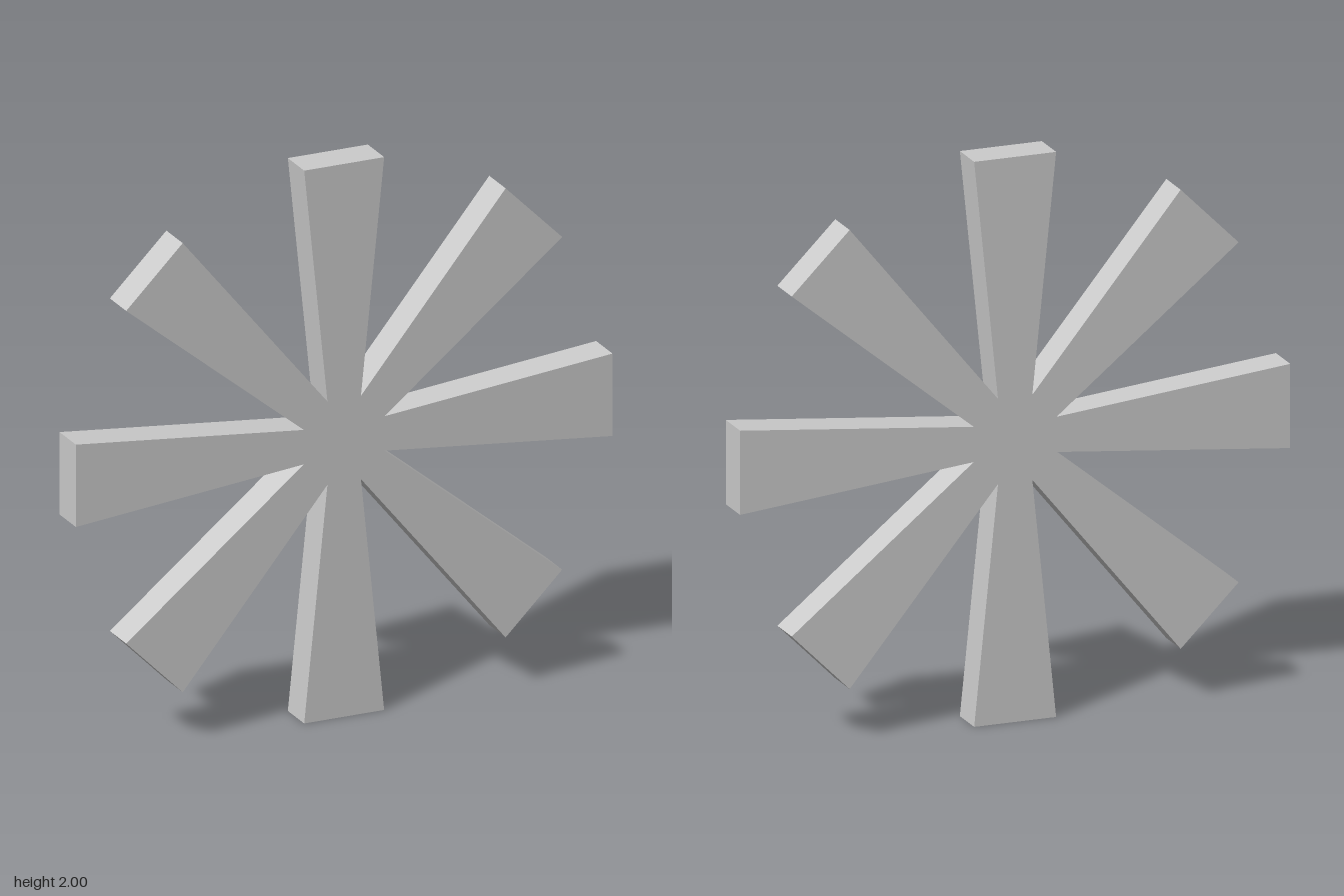
import * as THREE from 'three';

const ARMS = 8;
const TIP_RADIUS = 1;        // centre to the flat end of each arm
const TIP_HALF_WIDTH = 0.149;
const NOTCH_RADIUS = 0.163;  // centre to the inner corner between arms
const DEPTH = 0.13;

// Eight-armed outline: each arm flares from the notches to a flat tip
function starburstShape() {
  const points = [];
  const step = (Math.PI * 2) / ARMS;
  const centre = new THREE.Vector2();
  for (let i = 0; i < ARMS; i++) {
    const angle = i * step;
    points.push(
      new THREE.Vector2(TIP_RADIUS, -TIP_HALF_WIDTH).rotateAround(centre, angle),
      new THREE.Vector2(TIP_RADIUS, TIP_HALF_WIDTH).rotateAround(centre, angle),
      new THREE.Vector2(NOTCH_RADIUS, 0).rotateAround(centre, angle + step / 2),
    );
  }
  return new THREE.Shape(points);
}

export function createModel() {
  const group = new THREE.Group();
  group.name = 'starburst';

  // Flat slab, centred in depth and standing on the lowest arm
  const geometry = new THREE.ExtrudeGeometry(starburstShape(), { depth: DEPTH, bevelEnabled: false });
  geometry.translate(0, TIP_RADIUS, -DEPTH / 2);

  const material = new THREE.MeshStandardMaterial({ color: 0xcccccc, flatShading: true });
  const arms = new THREE.Mesh(geometry, material);
  arms.name = 'flaredArms';
  group.add(arms);
  return group;
}
